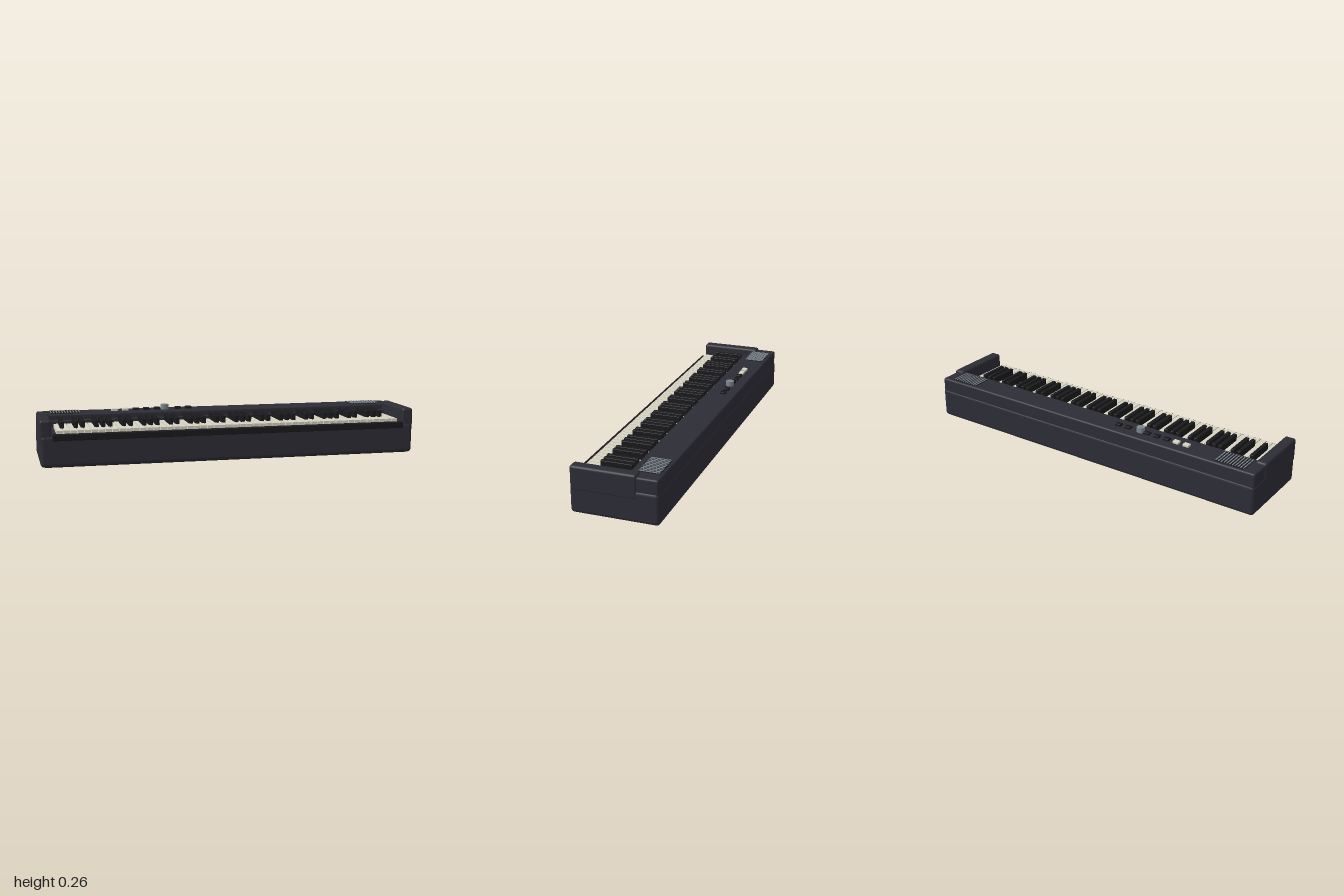
import * as THREE from 'three';
import { RoundedBoxGeometry } from 'three/addons/geometries/RoundedBoxGeometry.js';

const paint = (name, color) => {
  const m = new THREE.MeshStandardMaterial({ color });
  m.name = name;
  return m;
};

export function createModel() {
  const casing = paint('charcoal casing', 0x2d2d36);
  const black = paint('black', 0x1a1a1d);
  const ivory = paint('ivory', 0xd6d3c2);
  const steel = paint('steel grey', 0x7c868e);

  const piano = new THREE.Group();
  piano.name = 'stagePiano';

  // Box given by its extents; radius > 0 rounds the edges
  const box = (name, mat, [x0, x1], [y0, y1], [z0, z1], radius = 0, parent = piano) => {
    const size = [x1 - x0, y1 - y0, z1 - z0];
    const geo = radius ? new RoundedBoxGeometry(...size, 3, radius) : new THREE.BoxGeometry(...size);
    const mesh = new THREE.Mesh(geo, mat);
    mesh.name = name;
    mesh.position.set((x0 + x1) / 2, (y0 + y1) / 2, (z0 + z1) / 2);
    parent.add(mesh);
    return mesh;
  };
  const group = (name) => {
    const g = new THREE.Group();
    g.name = name;
    piano.add(g);
    return g;
  };

  // Casing
  box('body', casing, [-0.998, 0.998], [0.002, 0.165], [-0.229, 0.216], 0.02);
  box('basePlate', black, [-0.975, 0.975], [0, 0.012], [-0.21, 0.196]);
  box('controlPanel', casing, [-0.993, 0.993], [0.13, 0.231], [-0.225, -0.08], 0.01);
  box('keyLedge', casing, [-0.938, 0.938], [0.15, 0.2], [-0.085, -0.04]);
  box('frontRail', black, [-0.937, 0.937], [0.139, 0.172], [0.2, 0.23], 0.004);
  for (const s of [-1, 1]) {
    const xs = [s * 0.94, s].sort((a, b) => a - b);
    box(s > 0 ? 'leftCheek' : 'rightCheek', casing, xs, [0.12, 0.243], [-0.12, 0.212], 0.013);
  }

  // Keyboard: 52 white keys from A to C, black keys on the note boundaries
  const whites = group('whiteKeys'), blacks = group('blackKeys');
  const start = -0.916, pitch = 1.832 / 52;
  const sharps = [true, false, true, true, false, true, true]; // A B C D E F G
  for (let i = 0; i < 52; i++) {
    const x = start + i * pitch;
    box('whiteKey', ivory, [x + 0.002, x + pitch - 0.002], [0.155, 0.187], [-0.042, 0.2], 0, whites);
    if (sharps[i % 7] && i < 51) {
      const c = x + pitch;
      box('blackKey', black, [c - 0.0105, c + 0.0105], [0.18, 0.222], [-0.042, 0.12], 0.003, blacks);
    }
  }

  // Speaker grilles: dark plate with slim metal bars
  for (const s of [-1, 1]) {
    const grille = group(s > 0 ? 'leftGrille' : 'rightGrille');
    const c = s * 0.846;
    box('grillePlate', black, [c - 0.08, c + 0.08], [0.229, 0.2335], [-0.208, -0.1], 0, grille);
    for (let i = 0; i < 11; i++) {
      const x = c + (i - 5) * 0.015;
      box('grilleBar', steel, [x - 0.0025, x + 0.0025], [0.232, 0.2365], [-0.205, -0.102], 0, grille);
    }
  }

  // Buttons, the first two ivory
  const buttons = group('buttons');
  [-0.578, -0.52, -0.462, -0.404, -0.346, -0.23, -0.172].forEach((x, i) =>
    box('button', i < 2 ? ivory : black, [x - 0.017, x + 0.017], [0.228, 0.243], [-0.168, -0.14], 0.003, buttons));

  // Volume knob
  const knob = new THREE.Mesh(new THREE.CylinderGeometry(0.0215, 0.0215, 0.03, 24), steel);
  knob.name = 'volumeKnob';
  knob.position.set(-0.305, 0.243, -0.15);
  piano.add(knob);

  return piano;
}
